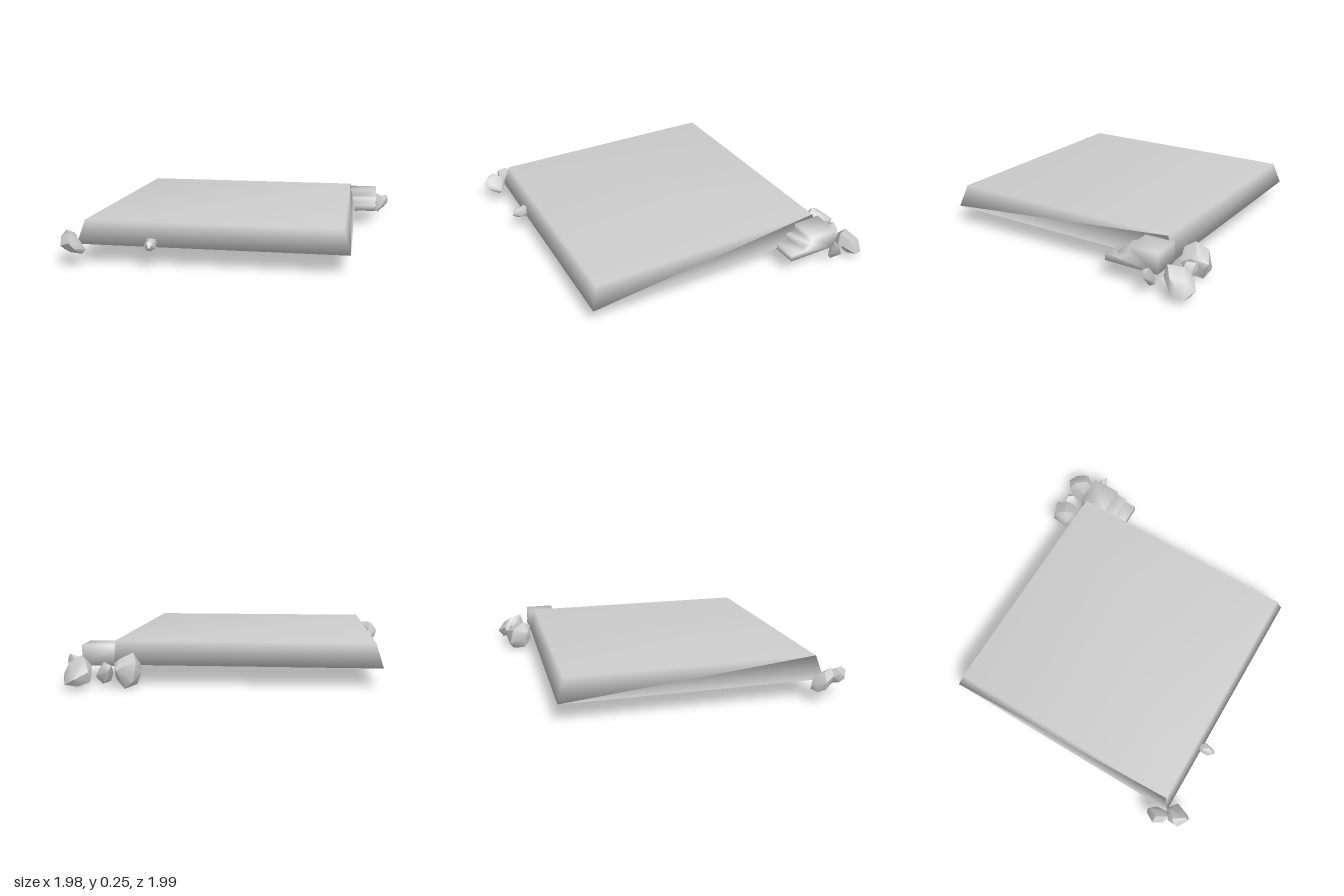
import * as THREE from 'three';
import { mergeVertices, toCreasedNormals } from 'three/addons/utils/BufferGeometryUtils.js';
import { ConvexGeometry } from 'three/addons/geometries/ConvexGeometry.js';

const material = new THREE.MeshStandardMaterial({ color: 0xcccccc });

function addMesh(parent, name, geometry) {
  const mesh = new THREE.Mesh(geometry, material);
  mesh.name = name;
  parent.add(mesh);
  return mesh;
}

// Share corners so the shading flows softly over the edges
function softened(geometry) {
  geometry.deleteAttribute('normal');
  geometry.deleteAttribute('uv');
  const merged = mergeVertices(geometry);
  merged.computeVertexNormals();
  return merged;
}

function seeded(seed) {
  let s = seed * 7919 + 17;
  return () => (s = (s * 16807) % 2147483647) / 2147483647;
}

// Chipped convex boulder fitted into a box; lean shears it sideways [x, z] with height
function rockGeometry(min, max, seed, lean = [0, 0]) {
  const random = seeded(seed);
  random();
  const count = 15;
  const points = [];
  for (let i = 0; i < count; i++) {
    const y = 1 - (2 * (i + 0.5)) / count;
    const r = Math.sqrt(1 - y * y);
    const a = i * 2.4 + seed + (random() - 0.5) * 0.8;
    const k = 0.85 + random() * 0.3;
    points.push(new THREE.Vector3(r * Math.cos(a) * k + y * lean[0], y * k, r * Math.sin(a) * k + y * lean[1]));
  }
  const box = new THREE.Box3().setFromPoints(points);
  const size = box.getSize(new THREE.Vector3());
  const lo = new THREE.Vector3(...min);
  const span = new THREE.Vector3(...max).sub(lo);
  for (const p of points) p.sub(box.min).divide(size).multiply(span).add(lo);
  return toCreasedNormals(new ConvexGeometry(points), 0.8);
}

export function createModel() {
  const model = new THREE.Group();
  model.name = 'stonePlatform';

  // Square slab with walls leaning inward
  const height = 0.14, bottomHalf = 0.807, topHalf = 0.765;
  const slab = new THREE.BoxGeometry(2 * bottomHalf, height, 2 * bottomHalf);
  const pos = slab.attributes.position;
  for (let i = 0; i < pos.count; i++) {
    if (pos.getY(i) > 0) {
      const k = topHalf / bottomHalf;
      pos.setXYZ(i, pos.getX(i) * k, pos.getY(i), pos.getZ(i) * k);
    }
  }
  addMesh(model, 'platform', softened(slab)).position.set(-0.067, 0.115 + height / 2, 0.034);

  // Three steps climbing toward the back, profile drawn in (-z, y)
  const profile = [
    [0.435, 0.108], [0.435, 0.147], [0.518, 0.147], [0.518, 0.188],
    [0.588, 0.188], [0.588, 0.232], [0.775, 0.232], [0.775, 0.108],
  ];
  const shape = new THREE.Shape(profile.map(([u, v]) => new THREE.Vector2(u, v)));
  const stairs = new THREE.ExtrudeGeometry(shape, { depth: 0.19, bevelEnabled: false });
  stairs.rotateY(Math.PI / 2);
  stairs.translate(0.7, 0, 0);
  addMesh(model, 'stairs', softened(stairs));

  // Loose boulders: name, lowest corner, highest corner, seed, lean
  const rocks = [
    ['backRockLarge', [0.52, 0, -0.96], [0.68, 0.2, -0.78], 3, [0, 0.1]],
    ['backRockSmall', [0.68, 0.015, -0.925], [0.775, 0.15, -0.815], 5, [-0.4, -0.4]],
    ['backRockCorner', [0.8, 0.02, -1], [0.965, 0.18, -0.81], 8, [0, 0.5]],
    ['stairRock', [0.89, 0.04, -0.775], [0.985, 0.175, -0.715], 11, [0.8, 0]],
    ['frontRockOuter', [-0.99, 0.065, 0.73], [-0.885, 0.2, 0.865], 14, [0.1, 0.5]],
    ['frontRockInner', [-0.935, 0.07, 0.83], [-0.8, 0.19, 0.99], 17, [-0.5, 0.2]],
    ['frontPebble', [-0.445, 0.098, 0.81], [-0.38, 0.175, 0.93], 20],
  ];
  const rockGroup = new THREE.Group();
  rockGroup.name = 'rocks';
  for (const [name, min, max, seed, lean] of rocks) {
    addMesh(rockGroup, name, rockGeometry(min, max, seed, lean));
  }
  model.add(rockGroup);

  return model;
}
